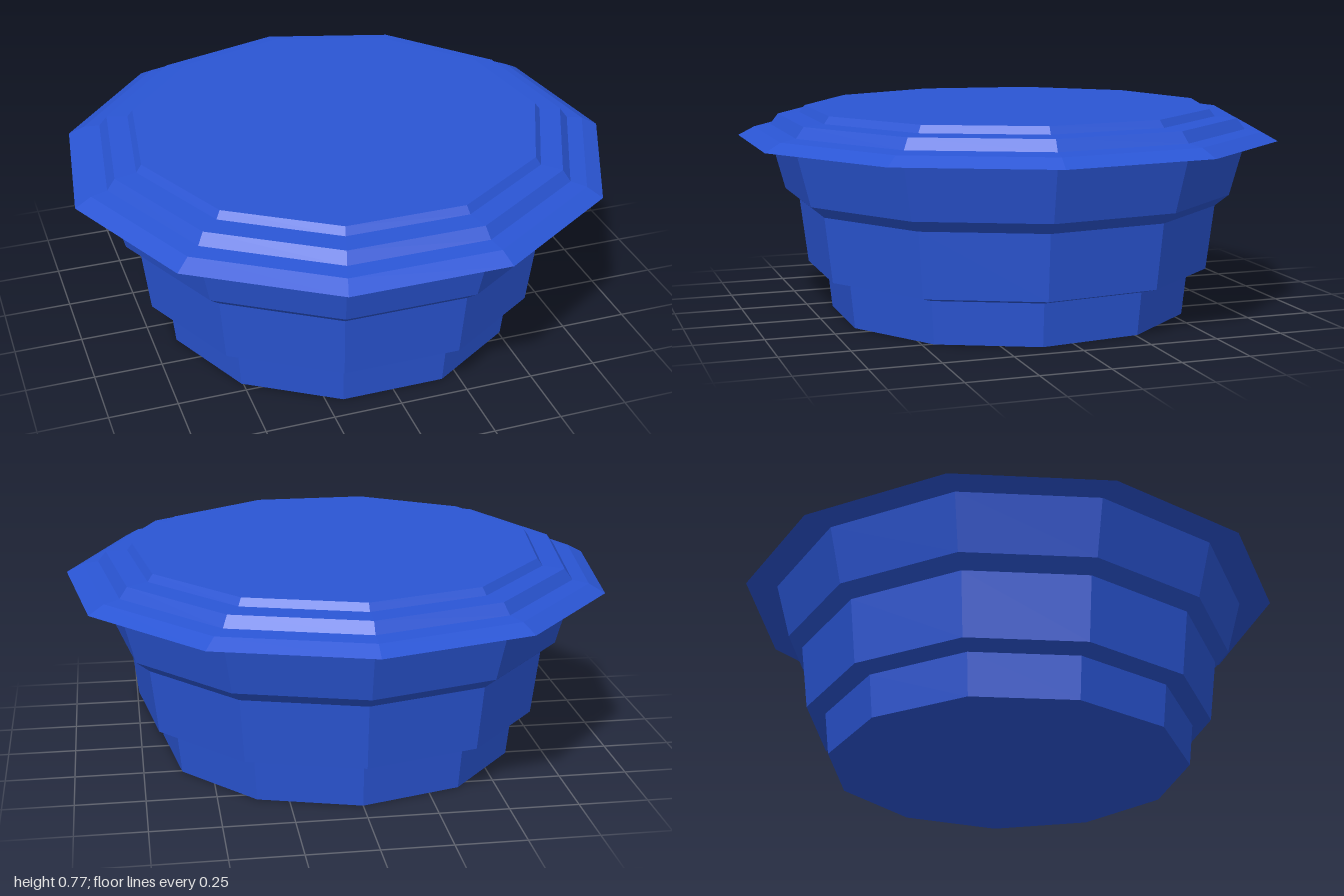
import * as THREE from 'three';

const SIDES = 11;

// Faceted ring-by-ring solid from [radius, height] pairs, bottom to top, one corner at the back
function facetedSolid(name, profile, material) {
  const points = profile.map(([r, y]) => new THREE.Vector2(r, y));
  const mesh = new THREE.Mesh(new THREE.LatheGeometry(points, SIDES, Math.PI), material);
  mesh.name = name;
  mesh.position.z = 0.02; // an odd-sided ring is not centred on its own bounds
  return mesh;
}

export function createModel() {
  const model = new THREE.Group();
  model.name = 'liddedTub';
  const blue = new THREE.MeshStandardMaterial({ color: 0x2a55d4, flatShading: true });

  // Tub: three stepped, slightly flaring tiers
  model.add(facetedSolid('tub', [
    [0, 0], [0.67, 0],
    [0.687, 0.157], [0.757, 0.177],
    [0.786, 0.415], [0.838, 0.457],
    [0.893, 0.66],
  ], blue));

  // Lid: overhanging sloped brim with two raised steps
  model.add(facetedSolid('lid', [
    [0, 0.66], [1.01, 0.66],
    [0.95, 0.692], [0.89, 0.701],
    [0.86, 0.74], [0.78, 0.745],
    [0.76, 0.771], [0, 0.771],
  ], blue));

  return model;
}
